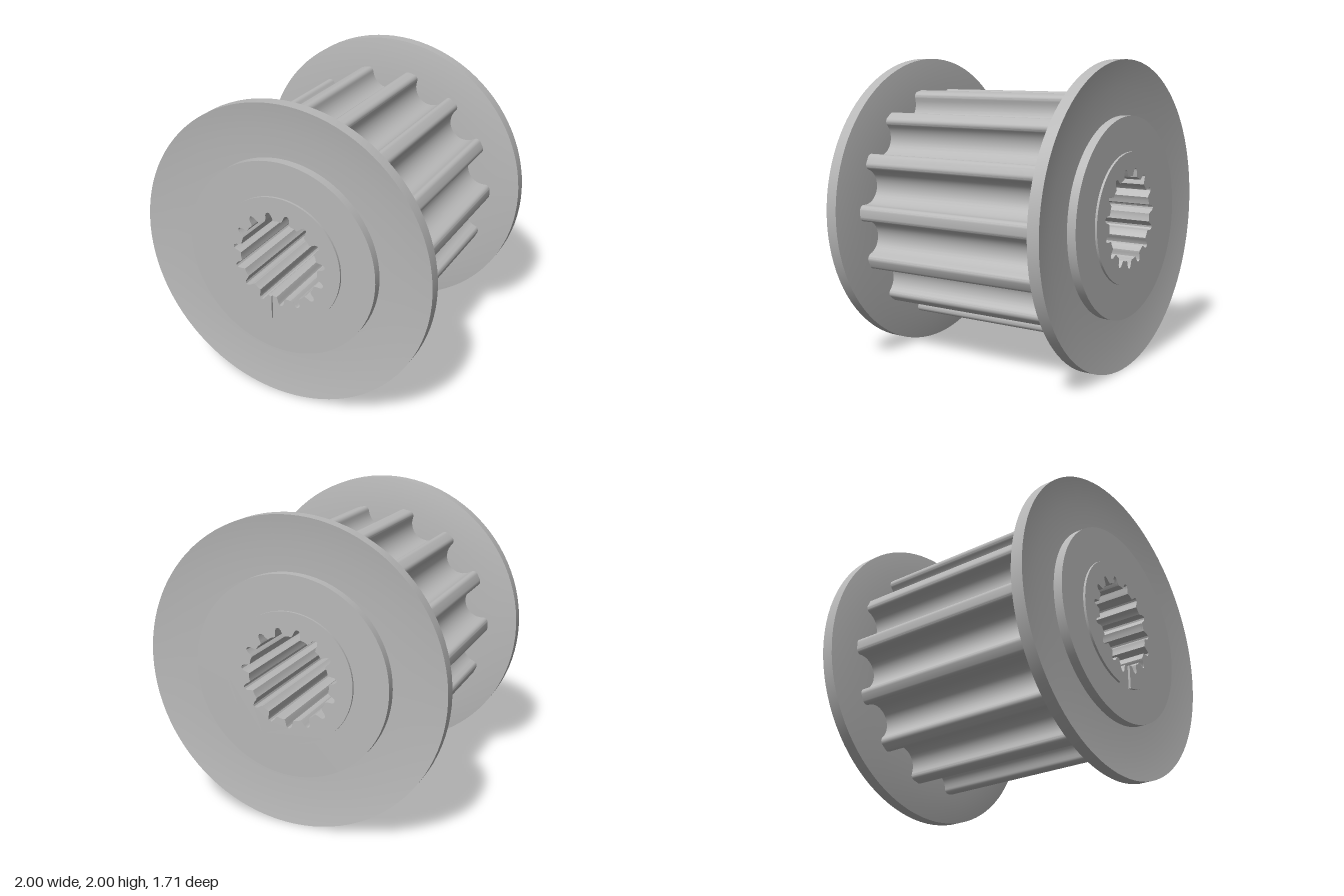
import * as THREE from 'three';
import { toCreasedNormals } from 'three/addons/utils/BufferGeometryUtils.js';

const TAU = Math.PI * 2;
const BORE_TEETH = 15, BELT_TEETH = 14;
const HUB_R = 0.425, BOSS_R = 0.65;

const polar = (r, a) => new THREE.Vector2(r * Math.cos(a), r * Math.sin(a));

// points on an arc around (cx, cy)
function arc(cx, cy, r, from, to, n) {
  return Array.from({ length: n + 1 }, (_, i) =>
    polar(r, from + (to - from) * i / n).add(new THREE.Vector2(cx, cy)));
}

// splined bore outline, counter-clockwise, starting at the bottom spline
function borePoints() {
  const rule = [[-12, 0.272], [-6.5, 0.27], [-5, 0.283], [-3.6, 0.307], [-2, 0.32],
    [0, 0.324], [2, 0.32], [3.6, 0.307], [5, 0.283], [6.5, 0.27]];
  const pts = [];
  for (let k = 0; k < BORE_TEETH; k++) {
    for (const [deg, r] of rule) {
      pts.push(polar(r, -Math.PI / 2 + k * TAU / BORE_TEETH + deg * TAU / 360));
    }
  }
  return pts;
}

// belt tooth outline: round grooves with filleted tooth tips
function beltPoints() {
  const R = 0.8, grooveR = 0.118, fillet = 0.033, grooveY = 0.768;
  const F = R - fillet;
  const a = 2 * Math.asin((grooveR + fillet) / (2 * F));
  const cx = F * Math.sin(a), cy = F * Math.cos(a);
  const tilt = Math.atan2(grooveY - cy, cx);
  const left = arc(-cx, cy, fillet, Math.PI / 2 + a, tilt, 6);
  const floor = arc(0, grooveY, grooveR, Math.PI + tilt, TAU - tilt, 16).slice(1, -1);
  const right = left.map(p => new THREE.Vector2(-p.x, p.y)).reverse();
  const groove = [...left, ...floor, ...right];
  const pts = [];
  for (let k = 0; k < BELT_TEETH; k++) {
    for (const p of groove) {
      pts.push(p.clone().rotateAround(new THREE.Vector2(), -k * TAU / BELT_TEETH));
    }
  }
  return pts;
}

// prism from an outline, with an optional hole, between two z values
function prism(outline, hole, z0, z1) {
  const shape = new THREE.Shape(outline);
  if (hole) shape.holes.push(new THREE.Path(hole));
  const geo = new THREE.ExtrudeGeometry(shape, { depth: z1 - z0, bevelEnabled: false });
  geo.translate(0, 0, z0);
  return toCreasedNormals(geo, 0.55);
}

const circle = (r, n = 96) => arc(0, 0, r, 0, TAU, n).slice(0, -1);

export function createModel() {
  const model = new THREE.Group();
  model.name = 'beltPulley';
  const metal = new THREE.MeshStandardMaterial({ color: 0xb8b8b8 });
  metal.name = 'grey metal';

  const add = (name, geo) => {
    const mesh = new THREE.Mesh(geo, metal);
    mesh.name = name;
    mesh.position.y = 1;
    model.add(mesh);
    return mesh;
  };

  // toothed drum between the flanges
  add('toothedDrum', prism(beltPoints(), circle(0.6), -0.74, 0.74));

  // bosses on both ends
  add('boss', prism(circle(BOSS_R), circle(HUB_R), -0.84, 0.84));

  // splined sleeve through the middle, proud at the back
  const bore = borePoints();
  add('splinedSleeve', prism(circle(HUB_R), bore, -0.855, 0.84));

  // raised front ring with a notch at the bottom
  const half = 0.06, slot = Math.asin(half / HUB_R);
  const ring = arc(0, 0, HUB_R, -Math.PI / 2 + slot, Math.PI * 1.5 - slot, 90);
  const inner = bore.filter(p => !(p.y < 0 && Math.abs(p.x) < half));
  const first = inner.findIndex((p, i) => p.x > 0 && p.y < 0 &&
    inner[(i + inner.length - 1) % inner.length].x < 0);
  const ordered = [...inner.slice(first), ...inner.slice(0, first)].reverse();
  const edge = -0.264;
  add('notchedRing', prism([...ring, new THREE.Vector2(-half, edge), ...ordered,
    new THREE.Vector2(half, edge)], null, 0.84, 0.855));

  // slightly dished flanges, one per end
  const profile = [[0.6, 0.705], [0.82, 0.705], [1, 0.73], [1, 0.81], [0.83, 0.785],
    [0.6, 0.78], [0.6, 0.705]].map(([r, z]) => new THREE.Vector2(r, z));
  const flange = toCreasedNormals(
    new THREE.LatheGeometry(profile, 96).rotateX(Math.PI / 2), 0.5);
  add('frontFlange', flange);
  add('backFlange', flange).rotation.y = Math.PI;

  return model;
}
